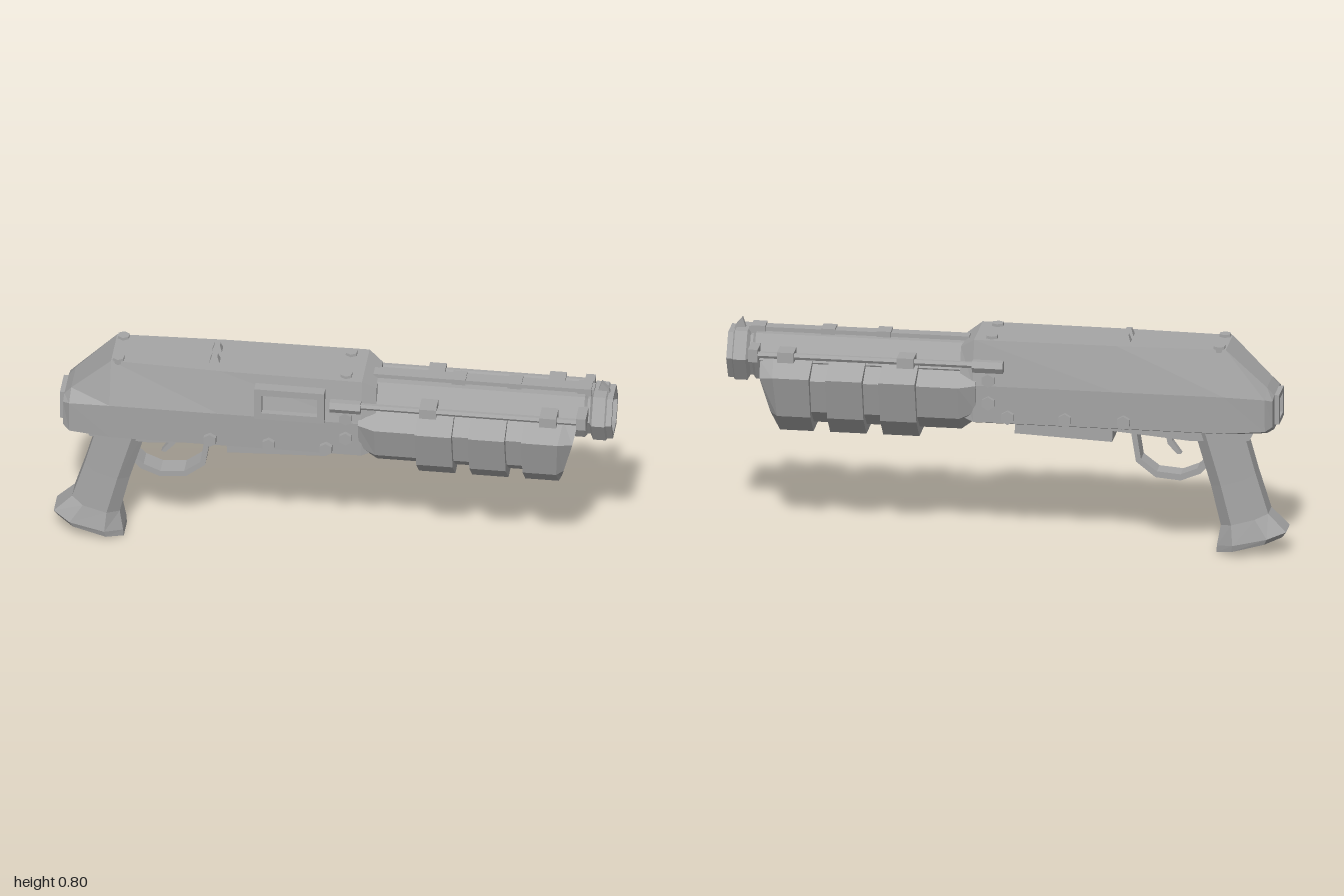
import * as THREE from 'three';

export function createModel() {
  const model = new THREE.Group();
  const grey = new THREE.MeshStandardMaterial({ color: 0xa6a6a6 });
  grey.name = 'grey metal';

  // adds a flat-faced mesh
  function add(name, geo, x = 0, y = 0, z = 0) {
    const g = geo.index ? geo.toNonIndexed() : geo;
    g.computeVertexNormals();
    const mesh = new THREE.Mesh(g, grey);
    mesh.name = name;
    mesh.position.set(x, y, z);
    model.add(mesh);
    return mesh;
  }
  const box = (name, x0, x1, y0, y1, z0, z1) => add(name,
    new THREE.BoxGeometry(x1 - x0, y1 - y0, z1 - z0), (x0 + x1) / 2, (y0 + y1) / 2, (z0 + z1) / 2);

  // skins a row of equal-sized rings and caps both ends
  function skin(rings) {
    const pos = [], n = rings[0].length;
    const tri = (a, b, c) => pos.push(...a, ...b, ...c);
    for (let r = 0; r + 1 < rings.length; r++) {
      const A = rings[r], B = rings[r + 1];
      for (let i = 0; i < n; i++) {
        const j = (i + 1) % n;
        tri(A[i], A[j], B[j]);
        tri(A[i], B[j], B[i]);
      }
    }
    const first = rings[0], last = rings[rings.length - 1];
    for (let i = 1; i + 1 < n; i++) {
      tri(first[0], first[i + 1], first[i]);
      tri(last[0], last[i], last[i + 1]);
    }
    const g = new THREE.BufferGeometry();
    g.setAttribute('position', new THREE.Float32BufferAttribute(pos, 3));
    return g;
  }
  // mirrored cross-section at x; half lists [z, y, forward shift] from top to bottom
  const section = (x, half) => [
    ...half.map(([z, y, d = 0]) => [x + d, y, z]),
    ...[...half].reverse().map(([z, y, d = 0]) => [x + d, y, -z]),
  ];
  const shapeOf = pts => new THREE.Shape(pts.map(p => new THREE.Vector2(...p)));
  const extrude = (shape, depth) => new THREE.ExtrudeGeometry(shape, { depth, bevelEnabled: false })
    .translate(0, 0, -depth / 2);
  const rect = (w, h) => [[-w, -h], [w, -h], [w, h], [-w, h]];
  function frame(w, h, rim, depth) {
    const s = shapeOf(rect(w, h));
    s.holes.push(new THREE.Path(rect(w - rim, h - rim).reverse().map(p => new THREE.Vector2(...p))));
    return extrude(s, depth);
  }

  // receiver
  const low = [[0.125, 0.475], [0.07, 0.455]];
  add('receiver', skin([
    section(-0.96, [[0.06, 0.605], [0.1, 0.595], [0.1, 0.5], [0.06, 0.48]]),
    section(-0.935, [[0.065, 0.635], [0.125, 0.607], [0.12, 0.487], [0.065, 0.465]]),
    section(-0.79, [[0.085, 0.775], [0.13, 0.612], ...low]),
    section(-0.4, [[0.1, 0.775], [0.13, 0.612], ...low]),
    section(0.11, [[0.105, 0.775], [0.13, 0.612], ...low]),
    section(0.16, [[0.085, 0.74], [0.11, 0.612], [0.11, 0.49], [0.06, 0.475]]),
  ]));
  add('receiverBelly', extrude(shapeOf([[-0.89, 0.47], [-0.87, 0.43], [-0.66, 0.42],
    [-0.36, 0.445], [-0.03, 0.455], [-0.03, 0.48]]), 0.12));
  add('rearPlate', frame(0.055, 0.055, 0.018, 0.03).rotateY(Math.PI / 2), -0.962, 0.55, 0);

  // ejection port and loading tray
  add('ejectionPort', frame(0.125, 0.063, 0.026, 0.05), -0.145, 0.677, 0.122);
  add('loadingTray', frame(0.175, 0.06, 0.02, 0.06).rotateX(Math.PI / 2), -0.205, 0.44, 0).rotation.z = 0.043;

  // bolts on both sides and on top
  for (const s of [1, -1]) {
    for (const [x, y] of [[-0.43, 0.502], [-0.22, 0.5], [-0.015, 0.5], [0.055, 0.55], [0.055, 0.635]]) {
      add('sideBolt', new THREE.CylinderGeometry(0.025, 0.025, 0.03, 6).rotateX(Math.PI / 2), x, y, s * 0.128);
    }
    for (const x of [-0.765, 0.05]) {
      add('topBolt', new THREE.CylinderGeometry(0.022, 0.024, 0.02, 6), x, 0.775, s * 0.07);
    }
    // rear sight posts
    add('rearSight', new THREE.CylinderGeometry(0.014, 0.028, 0.03, 4).rotateY(Math.PI / 4), -0.425, 0.785, s * 0.035);
  }

  // hexagonal barrel with hollow muzzle
  const bore = [[0, 0.08], [0.098, 0.08], [0.098, 0.9], [0.085, 0.91], [0.085, 0.92], [0.105, 0.93],
    [0.105, 0.975], [0.097, 0.98], [0.097, 1], [0.08, 1], [0.074, 0.985], [0.07, 0.84], [0, 0.84]];
  add('barrel', new THREE.LatheGeometry(bore.map(p => new THREE.Vector2(...p)), 6)
    .rotateZ(-Math.PI / 2), 0, 0.658, 0);
  box('topRib', 0.14, 0.93, 0.738, 0.758, -0.022, 0.022);
  for (const x of [0.42, 0.62, 0.87]) box('ribClamp', x, x + 0.05, 0.735, 0.764, -0.03, 0.03);
  add('frontSight', extrude(shapeOf([[0.94, 0.74], [0.985, 0.74], [0.98, 0.755], [0.955, 0.785]]), 0.018));

  // side rods with clamps, end nuts and front bracket
  for (const s of [1, -1]) {
    const span = (a, b) => s > 0 ? [a, b] : [-b, -a];
    add('sideRod', new THREE.CylinderGeometry(0.012, 0.012, 0.9, 6).rotateZ(Math.PI / 2), 0.455, 0.69, s * 0.132);
    add('rodNut', new THREE.CylinderGeometry(0.024, 0.024, 0.11, 6).rotateZ(Math.PI / 2), 0.055, 0.688, s * 0.138);
    for (const x of [0.32, 0.75]) box('rodClamp', x, x + 0.06, 0.67, 0.708, ...span(0.08, 0.152));
    box('frontBracket', 0.88, 0.915, 0.665, 0.712, ...span(0.06, 0.145));
  }

  // fore-end core, three raised bands and sloped nose
  const core = [[0.09, 0.655], [0.165, 0.61], [0.13, 0.485], [0.066, 0.428]];
  const band = [[0.1, 0.67], [0.195, 0.625], [0.15, 0.47], [0.075, 0.395]];
  add('foreEnd', skin([
    section(0.1, [[0.09, 0.655], [0.145, 0.615], [0.12, 0.51], [0.06, 0.472]]),
    section(0.16, core), section(0.8, core),
  ]));
  for (const [a, b] of [[0.31, 0.44], [0.5, 0.63]]) {
    add('gripBand', skin([section(a, band), section(b, band)]));
  }
  add('foreEndNose', skin([
    section(0.69, band),
    section(0.81, [[0.1, 0.67, 0.02], [0.195, 0.625, 0.01], [0.15, 0.47], [0.075, 0.395]]),
    section(0.82, [[0.09, 0.655, 0.06], [0.165, 0.612, 0.05], [0.135, 0.48, 0.015], [0.066, 0.412]]),
  ]));

  // pistol grip: rings of [back x, back y, front x, front y, half width]
  const gripRing = ([xb, yb, xf, yf, w]) => {
    const at = (t, z) => [xb + (xf - xb) * t, yb + (yf - yb) * t, z];
    const c = w * 0.5;
    return [at(1, c), at(1, -c), at(0.75, -w), at(0.25, -w), at(0, -c), at(0, c), at(0.25, w), at(0.75, w)];
  };
  add('grip', skin([
    [-0.985, 0.07, -0.75, 0.003, 0.085], [-1, 0.09, -0.752, 0.03, 0.092], [-0.935, 0.155, -0.765, 0.105, 0.078],
    [-0.89, 0.3, -0.73, 0.25, 0.074], [-0.84, 0.48, -0.665, 0.47, 0.074],
  ].map(gripRing)));

  // trigger guard and trigger
  add('triggerGuard', extrude(shapeOf([[-0.72, 0.32], [-0.69, 0.29], [-0.62, 0.262], [-0.53, 0.27],
    [-0.46, 0.325], [-0.44, 0.45], [-0.46, 0.45], [-0.478, 0.335], [-0.535, 0.292],
    [-0.62, 0.285], [-0.68, 0.31], [-0.71, 0.34]]), 0.07));
  add('trigger', extrude(shapeOf([[-0.59, 0.45], [-0.588, 0.4], [-0.62, 0.355], [-0.605, 0.352],
    [-0.57, 0.39], [-0.56, 0.45]]), 0.025));

  return model;
}
